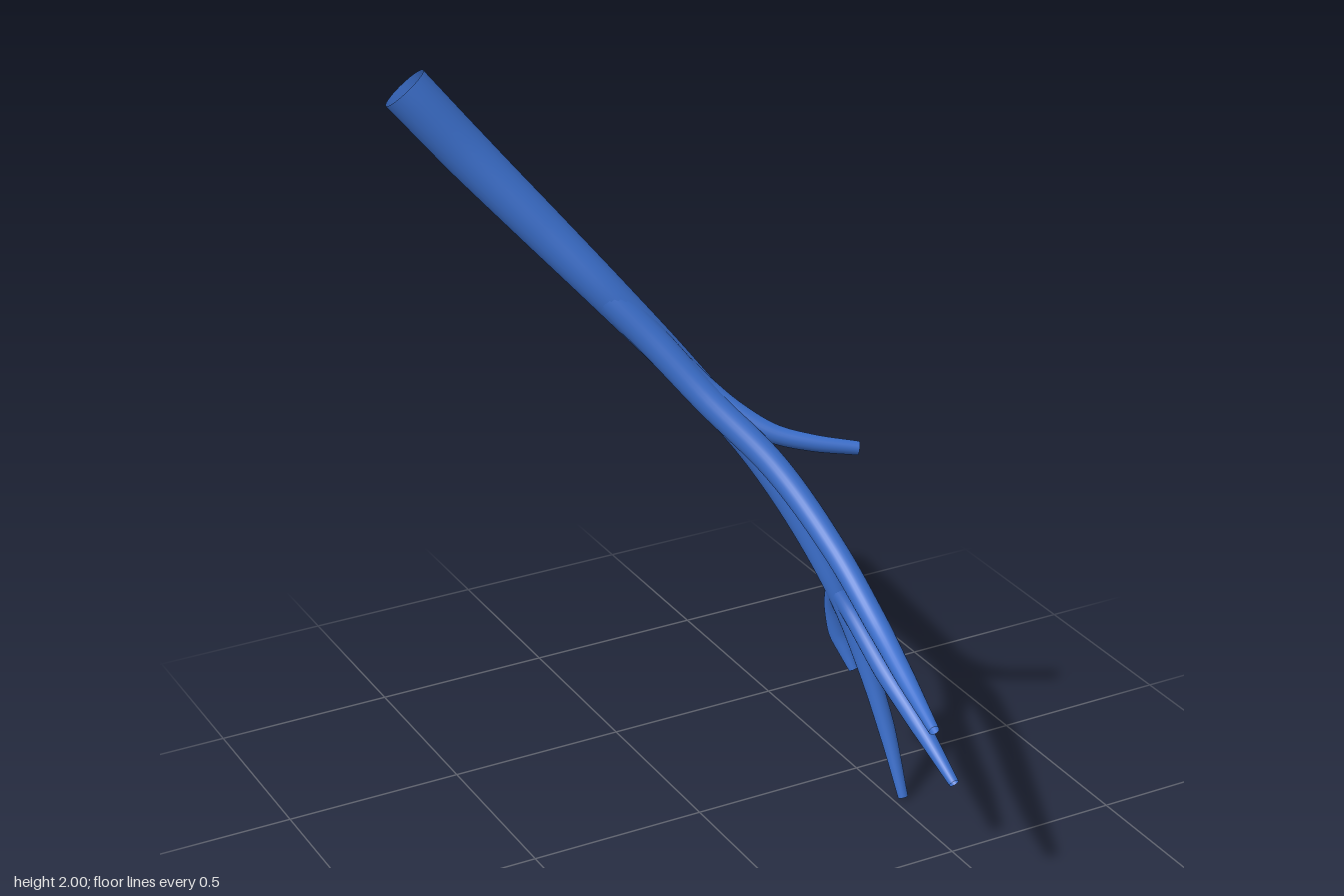
import * as THREE from 'three';

// Tapered open tube; each point is [x, y, z, radius]
function taperedTube(name, points, material, segments = 48, sides = 24) {
  const curve = new THREE.CatmullRomCurve3(points.map(p => new THREE.Vector3(p[0], p[1], p[2])), false, 'centripetal');
  const geometry = new THREE.TubeGeometry(curve, segments, 1, sides, false);
  const pos = geometry.attributes.position;
  const v = new THREE.Vector3();
  for (let i = 0; i <= segments; i++) {
    const u = i / segments;
    const centre = curve.getPointAt(u);
    const f = curve.getUtoTmapping(u) * (points.length - 1);
    const k = Math.min(Math.floor(f), points.length - 2);
    const radius = THREE.MathUtils.lerp(points[k][3], points[k + 1][3], f - k);
    for (let j = 0; j <= sides; j++) {
      const n = i * (sides + 1) + j;
      v.fromBufferAttribute(pos, n).sub(centre).multiplyScalar(radius).add(centre);
      pos.setXYZ(n, v.x, v.y, v.z);
    }
  }
  const mesh = new THREE.Mesh(geometry, material);
  mesh.name = name;
  return mesh;
}

export function createModel() {
  const group = new THREE.Group();
  group.name = 'branchingVessel';
  const blue = new THREE.MeshStandardMaterial({ color: 0x3b6fcc, side: THREE.DoubleSide });
  blue.name = 'blue';

  const parts = {
    // Main stem from the wide open top to the lowest tip
    mainStem: [
      [-0.49, 1.957, -0.70, 0.068], [-0.35, 1.775, -0.62, 0.066], [-0.20, 1.585, -0.51, 0.06],
      [-0.055, 1.40, -0.39, 0.053], [0.10, 1.20, -0.285, 0.045], [0.24, 1.0, -0.19, 0.038],
      [0.343, 0.80, -0.10, 0.033], [0.428, 0.58, -0.005, 0.029], [0.478, 0.40, 0.055, 0.028],
      [0.512, 0.20, 0.13, 0.024], [0.528, 0.01, 0.203, 0.014],
    ],
    // Long branch sweeping forward
    frontBranch: [
      [-0.06, 1.40, -0.385, 0.046], [0.035, 1.275, -0.295, 0.043], [0.128, 1.14, -0.185, 0.04],
      [0.236, 0.99, -0.01, 0.037], [0.293, 0.83, 0.20, 0.033], [0.305, 0.70, 0.40, 0.031],
      [0.287, 0.627, 0.58, 0.025], [0.262, 0.573, 0.757, 0.014],
    ],
    // Short branch turning to the left
    sideBranch: [
      [0.085, 1.225, -0.25, 0.03], [0.14, 1.155, -0.2, 0.032], [0.20, 1.098, -0.138, 0.03],
      [0.27, 1.054, -0.083, 0.026], [0.36, 1.027, -0.035, 0.023], [0.475, 1.005, 0.012, 0.019],
    ],
    // Lower fork: forward tip and small curled tip
    lowerFrontBranch: [
      [0.418, 0.60, -0.015, 0.024], [0.446, 0.53, 0.04, 0.026], [0.472, 0.41, 0.18, 0.03],
      [0.49, 0.315, 0.33, 0.027], [0.5, 0.215, 0.497, 0.014],
    ],
    lowerBackBranch: [
      [0.42, 0.595, -0.01, 0.024], [0.434, 0.52, -0.03, 0.027], [0.447, 0.44, -0.027, 0.027],
      [0.462, 0.385, -0.008, 0.021], [0.475, 0.335, 0.013, 0.014],
    ],
  };
  for (const [name, points] of Object.entries(parts)) group.add(taperedTube(name, points, blue));
  return group;
}
